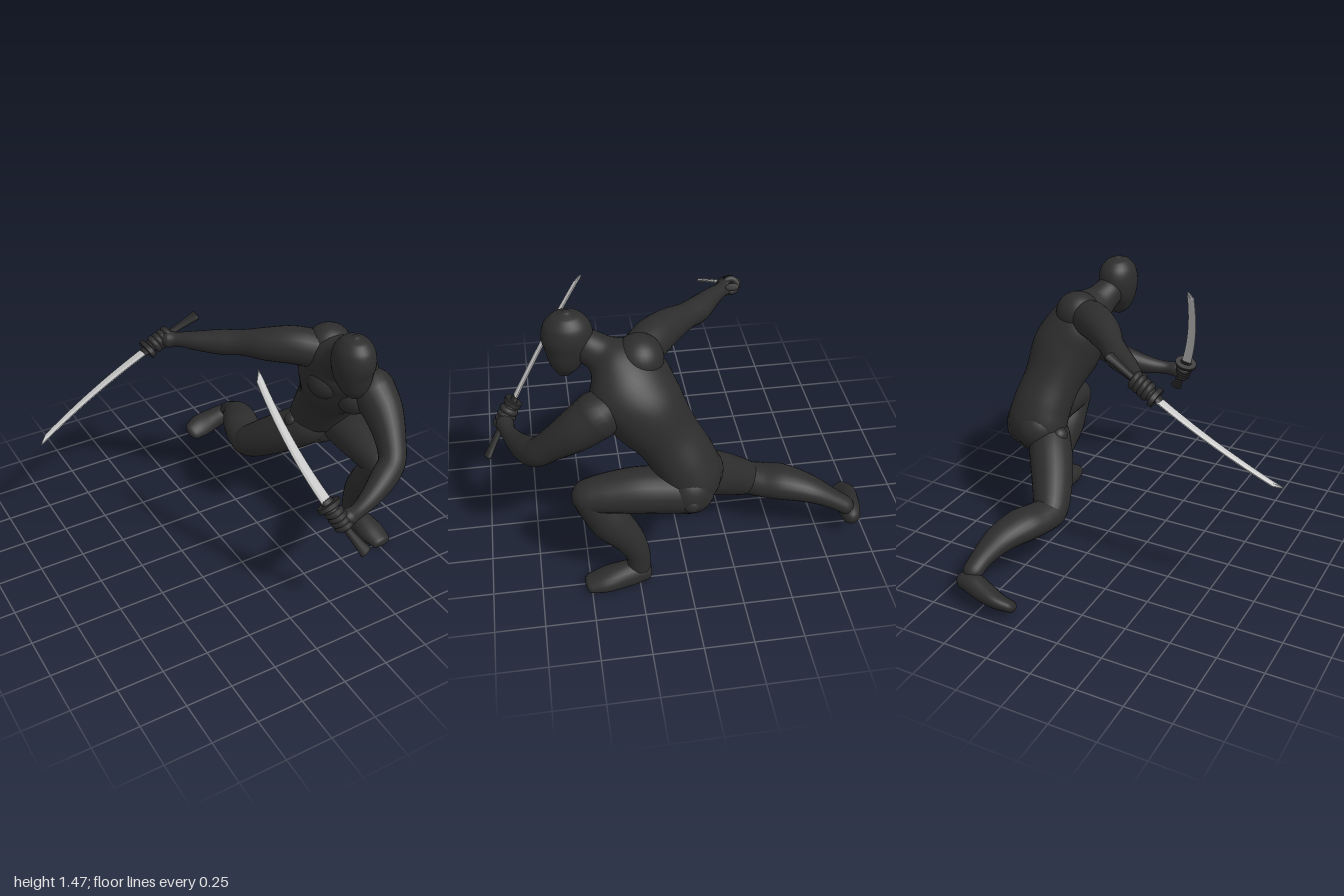
import * as THREE from 'three';

const suit = new THREE.MeshStandardMaterial({ color: 0x2d2d2d, name: 'suitBlack' });
const grip = new THREE.MeshStandardMaterial({ color: 0x292929, name: 'gripBlack' });
const steel = new THREE.MeshStandardMaterial({ color: 0xc8c8c8, name: 'bladeSteel' });
const V = (a) => new THREE.Vector3(...a);

function mesh(name, geometry, material) {
  const m = new THREE.Mesh(geometry, material);
  m.name = name;
  return m;
}

// Smooth tube through stations [x, y, z, halfWidth, halfDepth], rounded at both ends.
// sides holds one width direction, or one per station.
function loft(stations, sides, { n = 24, sub = 6, round = 1, floor = -1 } = {}) {
  const axis = new THREE.CatmullRomCurve3(stations.map((s) => V(s.slice(0, 3))));
  const size = new THREE.CatmullRomCurve3(
    stations.map((s) => new THREE.Vector3(s[3], s[4] ?? s[3], 0)), false, 'catmullrom', 0.5);
  const across = new THREE.CatmullRomCurve3(
    stations.map((_, i) => V(Array.isArray(sides[0]) ? sides[i] : sides).addScalar(i * 1e-5)), false, 'catmullrom', 0.5);
  const pos = [], index = [];
  let rings = 0;
  const ring = (t, lift, scale) => {
    const tangent = axis.getTangent(t), r = size.getPoint(t);
    const side = across.getPoint(t);
    side.addScaledVector(tangent, -side.dot(tangent)).normalize();
    const front = side.clone().cross(tangent);
    const c = axis.getPoint(t).addScaledVector(tangent, lift * Math.min(r.x, r.y) * round);
    for (let i = 0; i < n; i++) {
      const a = (i / n) * Math.PI * 2;
      const p = c.clone()
        .addScaledVector(side, Math.max(r.x, 0.002) * scale * Math.cos(a))
        .addScaledVector(front, Math.max(r.y, 0.002) * scale * Math.sin(a));
      pos.push(p.x, Math.max(p.y, floor), p.z);
    }
    rings++;
  };
  const caps = [1.55, 1.25, 0.85, 0.45];
  caps.forEach((q) => ring(0, -Math.sin(q), Math.cos(q)));
  const steps = (stations.length - 1) * sub;
  for (let i = 0; i <= steps; i++) ring(i / steps, 0, 1);
  caps.reverse().forEach((q) => ring(1, Math.sin(q), Math.cos(q)));
  for (let j = 0; j < rings - 1; j++) {
    for (let i = 0; i < n; i++) {
      const a = j * n + i, b = j * n + ((i + 1) % n);
      index.push(a, a + n, b, b, a + n, b + n);
    }
  }
  const g = new THREE.BufferGeometry();
  g.setAttribute('position', new THREE.Float32BufferAttribute(pos, 3));
  g.setIndex(index);
  g.computeVertexNormals();
  return g;
}

function ball(name, p, r, scale = [1, 1, 1]) {
  const m = mesh(name, new THREE.SphereGeometry(r, 28, 18), suit);
  m.position.set(...p);
  m.scale.set(...scale);
  return m;
}

// Curved sword; local y runs guard to tip, local x points to the inside of the curve.
function swordInFist(name, guardAt, dir, inside) {
  const g = new THREE.Group();
  g.name = name;
  const bend = (s) => 0.17 * s * (s - 0.75);

  const outline = [];
  for (let i = 0; i <= 14; i++) outline.push([bend(i * 0.0505) - 0.029 + i * 0.0006, i * 0.0505]);
  outline.push([0.014, 0.755]);
  for (let i = 14; i >= 0; i--) outline.push([bend(i * 0.0505) + 0.029 - i * 0.0008, i * 0.0505]);
  const blade = new THREE.ExtrudeGeometry(new THREE.Shape(outline.map((p) => new THREE.Vector2(...p))),
    { depth: 0.006, bevelEnabled: true, bevelThickness: 0.006, bevelSize: 0.012, bevelOffset: -0.012, bevelSegments: 1 });
  blade.translate(0, 0, -0.003);
  g.add(mesh('blade', blade, steel));

  const guard = mesh('guard', new THREE.CylinderGeometry(1, 1, 0.024, 28), grip);
  guard.scale.set(0.066, 1, 0.045);
  g.add(guard);
  const collar = mesh('collar', new THREE.CylinderGeometry(0.8, 1, 0.03, 20), grip);
  collar.scale.set(0.036, 1, 0.018);
  collar.position.y = 0.02;
  g.add(collar);
  const handle = [[0, 0.024, 0.017], [-0.08, 0.021, 0.016], [-0.17, 0.021, 0.016], [-0.25, 0.027, 0.018], [-0.31, 0.036, 0.02]];
  g.add(mesh('handle', loft(handle.map(([s, a, b]) => [bend(s), s, 0, a, b]), [1, 0, 0], { n: 14, round: 0.1 }), grip));

  // Fingers wrapped around the handle, with the thumb on top
  for (let i = 0; i < 4; i++) {
    const s = -0.045 - i * 0.028;
    const f = mesh('finger', new THREE.TorusGeometry(0.033, 0.018, 10, 22), suit);
    f.rotation.x = Math.PI / 2;
    f.position.set(bend(s), s, 0);
    g.add(f);
  }
  g.add(ball('thumb', [0, -0.028, 0], 0.032, [1.2, 0.55, 1.1]));

  const y = V(dir).normalize();
  const x = V(inside);
  x.addScaledVector(y, -x.dot(y)).normalize();
  g.quaternion.setFromRotationMatrix(new THREE.Matrix4().makeBasis(x, y, x.clone().cross(y)));
  g.position.set(...guardAt);
  return g;
}

export function createModel() {
  const model = new THREE.Group();
  model.name = 'crouchingSwordsman';
  const add = (name, stations, sides, opts) => model.add(mesh(name, loft(stations, sides, opts), suit));

  // Twisted, forward-leaning torso
  add('torso', [
    [0.68, 0.55, -0.02, 0.15, 0.11],
    [0.68, 0.61, -0.03, 0.18, 0.145],
    [0.67, 0.71, 0.01, 0.175, 0.155],
    [0.64, 0.85, 0.09, 0.17, 0.155],
    [0.605, 1.0, 0.19, 0.2, 0.19],
    [0.565, 1.12, 0.26, 0.215, 0.17],
    [0.52, 1.205, 0.32, 0.165, 0.135],
    [0.485, 1.25, 0.38, 0.095, 0.095],
    [0.46, 1.29, 0.45, 0.08, 0.082],
  ], [
    [0.97, 0, 0.22], [0.97, 0, 0.22], [0.95, -0.05, 0.3], [0.9, -0.1, 0.35], [0.8, -0.25, 0.48],
    [0.66, -0.38, 0.62], [0.62, -0.42, 0.66], [0.75, -0.3, 0.5], [0.95, -0.1, 0.2],
  ], { n: 36 });
  // Muscle masses of the upper back, chest and seat
  model.add(ball('upperBack', [0.525, 1.235, 0.205], 0.118, [1.05, 1, 1]),
    ball('neckSlope', [0.5, 1.26, 0.33], 0.085, [1, 0.8, 1.3]));
  model.add(ball('leftChest', [0.6, 0.985, 0.36], 0.1), ball('rightChest', [0.48, 1.07, 0.27], 0.1));
  model.add(ball('leftButtock', [0.765, 0.6, 0], 0.115, [1, 1.1, 1]),
    ball('rightButtock', [0.65, 0.62, -0.075], 0.115, [1.1, 1.1, 1]));
  model.add(ball('leftHipBall', [0.838, 0.575, 0], 0.05), ball('rightHipBall', [0.515, 0.6, -0.07], 0.05));

  // Hooded head, with the brow under the cloth
  add('head', [
    [0.445, 1.468, 0.53, 0.02, 0.022],
    [0.445, 1.452, 0.53, 0.06, 0.068],
    [0.445, 1.41, 0.53, 0.094, 0.107],
    [0.445, 1.35, 0.53, 0.107, 0.122],
    [0.445, 1.29, 0.533, 0.103, 0.114],
    [0.45, 1.23, 0.543, 0.09, 0.09],
    [0.455, 1.18, 0.55, 0.068, 0.066],
    [0.46, 1.145, 0.555, 0.036, 0.036],
  ], [-1, 0, 0], { n: 32, round: 0.3 });
  model.add(ball('brow', [0.447, 1.32, 0.597], 0.053, [1.4, 0.5, 0.95]));

  // Arms, each ending in a palm
  add('rightArm', [
    [0.47, 1.22, 0.2, 0.1], [0.37, 1.235, 0.12, 0.1], [0.265, 1.225, 0.03, 0.088], [0.17, 1.21, -0.07, 0.068],
    [0.09, 1.195, -0.15, 0.067], [-0.02, 1.19, -0.24, 0.05], [-0.09, 1.185, -0.305, 0.038], [-0.125, 1.18, -0.335, 0.046],
  ], [0, 1, 0]);
  add('leftArm', [
    [0.67, 1.035, 0.42, 0.118], [0.67, 0.96, 0.52, 0.105], [0.64, 0.86, 0.64, 0.08], [0.6, 0.785, 0.715, 0.071],
    [0.52, 0.74, 0.76, 0.07], [0.4, 0.7, 0.815, 0.053], [0.295, 0.685, 0.855, 0.039], [0.225, 0.68, 0.868, 0.047],
  ], [0, 0.6, 0.8]);

  // Bent front leg
  add('leftThigh', [
    [0.76, 0.585, -0.01, 0.115, 0.115], [0.745, 0.595, 0.12, 0.12, 0.115], [0.735, 0.6, 0.26, 0.118, 0.113],
    [0.725, 0.592, 0.4, 0.105, 0.096], [0.72, 0.58, 0.485, 0.09, 0.086],
  ], [1, 0, 0]);
  add('leftShin', [
    [0.72, 0.575, 0.485, 0.088, 0.085], [0.725, 0.5, 0.445, 0.09, 0.092], [0.73, 0.4, 0.385, 0.092, 0.1],
    [0.735, 0.28, 0.3, 0.073, 0.081], [0.74, 0.17, 0.255, 0.058, 0.063], [0.74, 0.08, 0.25, 0.054, 0.06],
  ], [1, 0, 0]);
  add('leftFoot', [
    [0.738, 0.04, 0.215, 0.05, 0.055], [0.742, 0.045, 0.26, 0.062, 0.07], [0.752, 0.04, 0.34, 0.07, 0.068],
    [0.762, 0.03, 0.43, 0.076, 0.055], [0.768, 0.018, 0.51, 0.06, 0.036],
  ], [1, 0, 0], { floor: 0, round: 0.6 });

  // Back leg stretched out behind
  add('rightThigh', [
    [0.6, 0.57, -0.03, 0.115], [0.54, 0.5, -0.12, 0.12], [0.47, 0.41, -0.23, 0.113], [0.41, 0.32, -0.35, 0.098], [0.4, 0.3, -0.39, 0.088],
  ], [1, 0, 0]);
  add('rightShin', [
    [0.4, 0.3, -0.38, 0.092, 0.085], [0.43, 0.3, -0.47, 0.105, 0.083], [0.465, 0.303, -0.56, 0.108, 0.085],
    [0.515, 0.283, -0.69, 0.088, 0.068], [0.55, 0.23, -0.81, 0.062, 0.05], [0.565, 0.185, -0.885, 0.055, 0.047],
  ], [1, 0, 0]);
  add('rightFoot', [
    [0.59, 0.135, -0.915, 0.052, 0.05], [0.55, 0.135, -0.918, 0.06, 0.058], [0.47, 0.11, -0.93, 0.067, 0.054],
    [0.39, 0.085, -0.935, 0.074, 0.043], [0.32, 0.066, -0.925, 0.06, 0.032],
  ], [0, -0.6, 0.8]);

  // Swords
  model.add(swordInFist('rightSword', [-0.23, 1.13, -0.375], [-0.655, -0.36, 0.035], [0, 0, 1]));
  model.add(swordInFist('leftSword', [0.145, 0.755, 0.82], [-0.19, 0.61, -0.39], [0.967, 0.215, -0.133]));
  return model;
}
